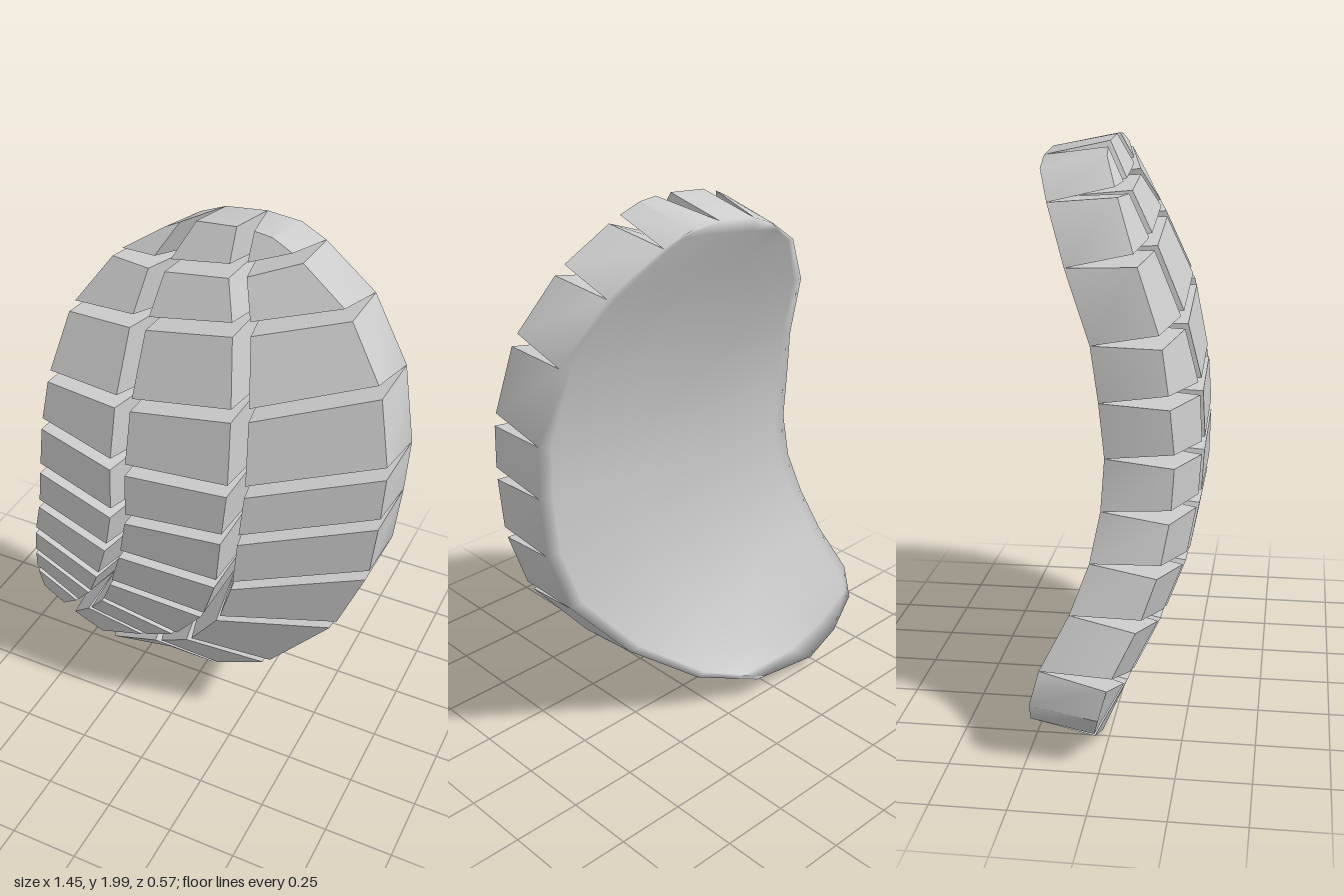
import * as THREE from 'three';

// Seams between plate rows, top to bottom: [x, y, z] at the right rim, two long grooves, left rim
const SEAMS = [
  [[-0.15, 1.94, -0.05], [-0.07, 1.98, -0.055], [0.135, 2.00, -0.05], [0.23, 1.99, -0.045]],
  [[-0.305, 1.84, 0.00], [-0.14, 1.84, 0.02], [0.14, 1.88, 0.02], [0.325, 1.95, -0.03]],
  [[-0.445, 1.64, 0.08], [-0.17, 1.66, 0.11], [0.20, 1.73, 0.11], [0.52, 1.82, 0.01]],
  [[-0.50, 1.39, 0.17], [-0.18, 1.40, 0.22], [0.25, 1.48, 0.22], [0.665, 1.61, 0.07]],
  [[-0.525, 1.20, 0.20], [-0.18, 1.17, 0.28], [0.265, 1.21, 0.27], [0.725, 1.34, 0.115]],
  [[-0.535, 1.01, 0.22], [-0.18, 0.96, 0.29], [0.25, 1.01, 0.285], [0.72, 1.14, 0.13]],
  [[-0.56, 0.83, 0.21], [-0.215, 0.78, 0.28], [0.23, 0.79, 0.28], [0.70, 0.91, 0.13]],
  [[-0.61, 0.66, 0.18], [-0.28, 0.59, 0.245], [0.16, 0.575, 0.24], [0.60, 0.65, 0.15]],
  [[-0.66, 0.49, 0.12], [-0.365, 0.41, 0.17], [0.00, 0.335, 0.155], [0.345, 0.345, 0.14]],
  [[-0.725, 0.31, 0.03], [-0.49, 0.23, 0.07], [-0.18, 0.18, 0.07], [0.09, 0.145, 0.05]],
  [[-0.725, 0.18, -0.005], [-0.63, 0.07, -0.035], [-0.44, 0.00, -0.025], [-0.15, 0.055, -0.03]],
];
const ROWS = SEAMS.length - 1, COLS = 3;
const DEPTH = 0.23, ROW_GAP = 0.023, COL_GAP = 0.031;
const BACK_SHIFT = [0.015, 0.028, -0.025, 0.004]; // sideways drift of each long line at the back
const FLATTEN = 0.5; // how far the hollow is filled towards a straight line between the rims

const front = SEAMS.map(row => row.map(p => new THREE.Vector3(...p)));

// Back surface: the front pushed back, shortened slightly and shallower across
const back = front.map(row => row.map((p, c) => {
  const t = (p.x - row[0].x) / (row[3].x - row[0].x);
  const chord = THREE.MathUtils.lerp(row[0].z, row[3].z, t);
  return new THREE.Vector3(
    p.x + BACK_SHIFT[c],
    0.95 + (p.y - 0.95) * 0.955,
    THREE.MathUtils.lerp(p.z, chord, FLATTEN) - DEPTH);
}));

// Point between the seams of a grid
function sample(grid, v, u) {
  const r = Math.min(Math.floor(v), ROWS - 1), c = Math.min(Math.floor(u), COLS - 1);
  const upper = grid[r][c].clone().lerp(grid[r][c + 1], u - c);
  const lower = grid[r + 1][c].clone().lerp(grid[r + 1][c + 1], u - c);
  return upper.lerp(lower, v - r);
}

// Grid lines of the back, with one extra loop close to the rim
const US = [0, 0.13, 1, 2, 2.87, 3];
const VS = [0, 0.4, 1, 2, 3, 4, 5, 6, 7, 8, 9, 9.65, 10];

// Hollow back, with normals that roll softly over onto the rim
function backGeometry() {
  const n = US.length, m = VS.length, index = [], rim = [], steps = [];
  const points = VS.flatMap(v => US.map(u => sample(back, v, u)));
  for (let r = 0; r < m - 1; r++) {
    for (let c = 0; c < n - 1; c++) {
      const a = r * n + c, b = a + n;
      index.push(a, b + 1, b, a, a + 1, b + 1);
    }
  }
  // outline, counter-clockwise from the front
  for (let r = 0; r < m - 1; r++) steps.push([r, 0]);
  for (let c = 0; c < n - 1; c++) steps.push([m - 1, c]);
  for (let r = m - 1; r > 0; r--) steps.push([r, n - 1]);
  for (let c = n - 1; c > 0; c--) steps.push([0, c]);
  // the rim only shapes the normals, the plates close the sides
  const first = points.length;
  steps.forEach(([r, c], i) => {
    const j = (i + 1) % steps.length;
    const q0 = r * n + c, q1 = steps[j][0] * n + steps[j][1];
    points.push(sample(front, VS[r], US[c]));
    rim.push(first + i, q0, q1, first + i, q1, first + j);
  });
  const g = new THREE.BufferGeometry().setFromPoints(points);
  g.setIndex([...index, ...rim]);
  g.computeVertexNormals();
  g.setIndex(index);
  return g;
}

// One tapered plate: full cell at the back, inset at the front wherever it meets a groove
function plateGeometry(r, c, backNormals) {
  const pos = [], nor = [];
  const addQuad = (corners, normals = []) => {
    const flat = corners[2].clone().sub(corners[0])
      .cross(corners[3].clone().sub(corners[1])).normalize();
    for (const i of [0, 1, 2, 0, 2, 3]) {
      pos.push(...corners[i].toArray());
      nor.push(...(normals[i] ?? flat).toArray());
    }
  };
  const cell = (dr, dc) => front[r + dr][c + dc];
  const corner = (dr, dc) => {
    const p = cell(dr, dc).clone();
    const slide = (target, gap) => p.addScaledVector(
      target.clone().sub(cell(dr, dc)).normalize(), gap);
    if (r + dr > 0 && r + dr < ROWS) slide(cell(1 - dr, dc), ROW_GAP);
    if (c + dc > 0 && c + dc < COLS) slide(cell(dr, 1 - dc), COL_GAP);
    return p;
  };
  const order = [[0, 0], [1, 0], [1, 1], [0, 1]];
  const top = order.map(([a, b]) => corner(a, b));
  const base = order.map(([a, b]) => back[r + a][c + b]);
  const soft = order.map(([a, b]) => new THREE.Vector3().fromBufferAttribute(
    backNormals, VS.indexOf(r + a) * US.length + US.indexOf(c + b)));
  const onRim = [c === 0, r === ROWS - 1, c === COLS - 1, r === 0];

  addQuad(top);
  for (let i = 0; i < 4; i++) {
    const j = (i + 1) % 4;
    addQuad([top[i], base[i], base[j], top[j]],
      onRim[i] ? [undefined, soft[i], soft[j], undefined] : []);
  }
  const g = new THREE.BufferGeometry();
  g.setAttribute('position', new THREE.Float32BufferAttribute(pos, 3));
  g.setAttribute('normal', new THREE.Float32BufferAttribute(nor, 3));
  return g;
}

export function createModel() {
  const model = new THREE.Group();
  model.name = 'segmentedShell';
  const material = new THREE.MeshStandardMaterial({ color: 0xcccccc });

  const inner = new THREE.Mesh(backGeometry(), material);
  inner.name = 'hollowBack';
  model.add(inner);

  // Three columns of plates
  ['rightPlates', 'middlePlates', 'leftPlates'].forEach((name, c) => {
    const column = new THREE.Group();
    column.name = name;
    for (let r = 0; r < ROWS; r++) {
      const plate = new THREE.Mesh(
        plateGeometry(r, c, inner.geometry.attributes.normal), material);
      plate.name = `plate${r + 1}`;
      column.add(plate);
    }
    model.add(column);
  });
  return model;
}
